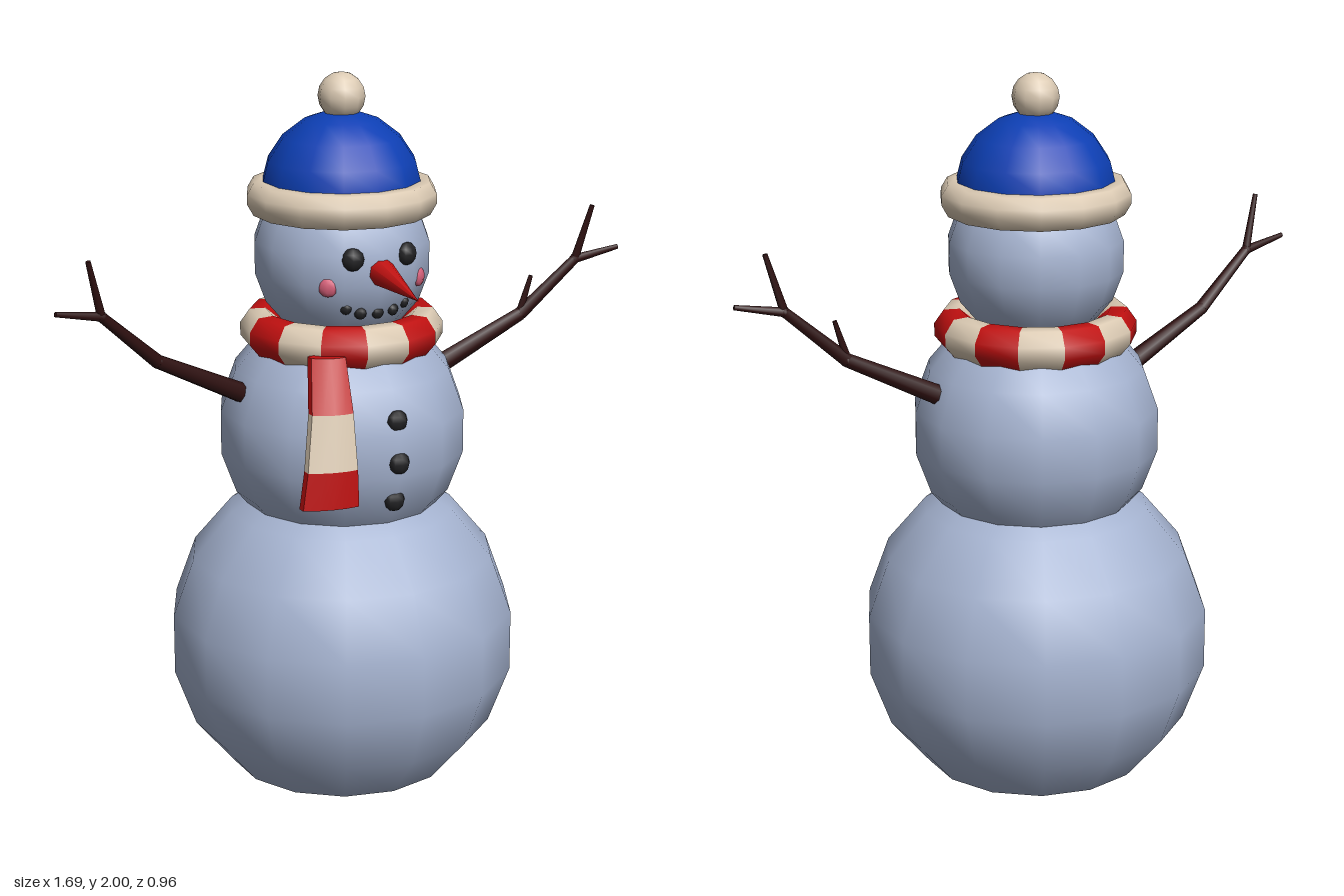
import * as THREE from 'three';

const mat = (name, color) => {
  const m = new THREE.MeshStandardMaterial({ color });
  m.name = name;
  return m;
};

export function createModel() {
  const snow = mat('snow', 0xa5b3d0);
  const blue = mat('hat blue', 0x0d3fb4);
  const cream = mat('cream', 0xdccbb4);
  const red = mat('red', 0xc01010);
  const wood = mat('dark wood', 0x2e1010);
  const coal = mat('coal', 0x222224);
  const pink = mat('cheek pink', 0xd8607a);

  const model = new THREE.Group();
  model.name = 'snowman';
  const SIDES = 14, STEP = (Math.PI * 2) / SIDES;

  const add = (name, geo, material, parent = model) => {
    const m = new THREE.Mesh(geo, material);
    m.name = name;
    parent.add(m);
    return m;
  };
  const group = (name) => {
    const g = new THREE.Group();
    g.name = name;
    model.add(g);
    return g;
  };
  const v2 = (pts) => pts.map(([x, y]) => new THREE.Vector2(x, y));

  // Snowballs: lathed circles with nine rows, flattened where they meet the ground
  const ball = (name, r, cy) => {
    const pts = [];
    for (let i = 0; i <= 9; i++) {
      const a = -Math.PI / 2 + (i * Math.PI) / 9;
      const y = cy + r * Math.sin(a);
      if (i === 0 && y < 0) continue;
      pts.push([Math.max(r * Math.cos(a), 0), Math.max(y, 0)]);
    }
    add(name, new THREE.LatheGeometry(v2(pts), SIDES), snow);
  };
  ball('lowerBody', 0.485, 0.433);
  ball('middleBody', 0.342, 1.035);
  ball('head', 0.242, 1.515);
  const base = add('lowerBodyBase', new THREE.CircleGeometry(0.166, SIDES), snow);
  base.rotation.set(Math.PI / 2, 0, Math.PI / 2);

  // Hat: dome, rolled brim and bobble
  add('hatDome', new THREE.LatheGeometry(v2([
    [0.215, 1.66], [0.214, 1.715], [0.2, 1.77], [0.16, 1.83], [0.1, 1.876], [0.05, 1.893], [0, 1.897],
  ]), SIDES), blue);
  add('hatBrim', new THREE.LatheGeometry(v2([
    [0.19, 1.665], [0.205, 1.628], [0.24, 1.628], [0.258, 1.66],
    [0.257, 1.685], [0.24, 1.714], [0.21, 1.718], [0.19, 1.7],
  ]), SIDES), cream);
  add('hatBobble', new THREE.SphereGeometry(0.064, 10, 8), cream).position.y = 1.937;

  // Scarf ring: alternating stripes, one per side, cream in front
  const scarf = group('scarf');
  const ring = v2([
    [0.17, 1.3], [0.2, 1.255], [0.245, 1.255], [0.274, 1.29],
    [0.274, 1.325], [0.248, 1.362], [0.205, 1.364], [0.17, 1.335], [0.17, 1.3],
  ]);
  for (let i = 0; i < SIDES; i++) {
    // stripes mirror left to right, so the back one is red
    add('scarfStripe', new THREE.LatheGeometry(ring, 1, (i - 0.5) * STEP, STEP), i % 2 ? red : cream, scarf);
  }

  // Scarf tail: stations of centre x, y, z and width
  const stations = [
    [-0.16, 1.3, 0.225, 0.085], [-0.178, 1.165, 0.285, 0.105],
    [-0.193, 1.02, 0.315, 0.13], [-0.2, 0.92, 0.318, 0.148],
  ];
  for (let i = 0; i < 3; i++) {
    const a = stations[i], b = stations[i + 1];
    const geo = new THREE.BoxGeometry(1, 1, 1, 4, 1, 1);
    const p = geo.attributes.position;
    for (let k = 0; k < p.count; k++) {
      const u = p.getX(k), t = 0.5 - p.getY(k);
      const [cx, cy, cz, w] = a.map((s, j) => s + (b[j] - s) * t);
      const thick = 0.046 * (1 - 2 * u * u);
      p.setXYZ(k, cx + u * w, cy, cz + p.getZ(k) * thick + u * 0.03);
    }
    geo.computeVertexNormals();
    add('scarfTail', geo, i === 1 ? cream : red, scarf);
  }

  // Tapered round rod between two points
  const rod = (name, from, to, r0, r1, material, parent, sides = 7) => {
    const a = new THREE.Vector3(...from), b = new THREE.Vector3(...to);
    const d = b.clone().sub(a);
    const m = add(name, new THREE.CylinderGeometry(r1, r0, d.length(), sides), material, parent);
    m.position.copy(a).add(b).multiplyScalar(0.5);
    m.quaternion.setFromUnitVectors(new THREE.Vector3(0, 1, 0), d.normalize());
  };

  // Branch arms, with an extra twig on the left one
  for (const s of [1, -1]) {
    const arm = group(s > 0 ? 'leftArm' : 'rightArm');
    const shoulder = [s * 0.29, 1.158, 0], elbow = [s * 0.55, 1.287, 0.025];
    const wrist = [s * 0.712, 1.432, 0.048];
    rod('upperBranch', shoulder, elbow, 0.028, 0.019, wood, arm);
    rod('lowerBranch', elbow, wrist, 0.019, 0.014, wood, arm);
    rod('upperTwig', wrist, [s * 0.752, 1.585, 0.068], 0.012, 0.007, wood, arm);
    rod('outerTwig', wrist, [s * 0.843, 1.457, 0.064], 0.013, 0.007, wood, arm);
    for (const [p, r] of [[elbow, 0.019], [wrist, 0.015]]) {
      add('branchJoint', new THREE.SphereGeometry(r, 7, 5), wood, arm).position.set(...p);
    }
    if (s > 0) rod('sideTwig', [0.55, 1.295, 0.025], [0.58, 1.395, 0.03], 0.011, 0.006, wood, arm);
  }

  // Face and buttons: small lumps, squashed along their depth
  const lump = (name, x, y, z, r, depth, material, sides = 8) => {
    const m = add(name, new THREE.SphereGeometry(r, sides, 6), material);
    m.position.set(x, y, z);
    m.scale.z = depth;
    m.rotation.y = Math.atan2(x, z);
  };
  for (const s of [1, -1]) {
    lump('eye', s * 0.08, 1.548, 0.217, 0.031, 0.7, coal);
    lump('cheek', s * 0.135, 1.473, 0.184, 0.026, 0.5, pink);
  }
  for (const [x, y, z] of [[-0.086, 1.413, 0.19], [-0.048, 1.398, 0.2], [0, 1.396, 0.205],
    [0.048, 1.398, 0.2], [0.086, 1.413, 0.19]]) {
    lump('mouthCoal', x, y, z, 0.017, 0.8, coal, 7);
  }
  rod('nose', [0, 1.512, 0.205], [0, 1.475, 0.423], 0.042, 0.001, red, model, 9);
  for (const [y, z] of [[1.128, 0.318], [1.016, 0.332], [0.906, 0.306]]) {
    lump('button', 0, y, z, 0.03, 0.7, coal);
  }

  return model;
}
